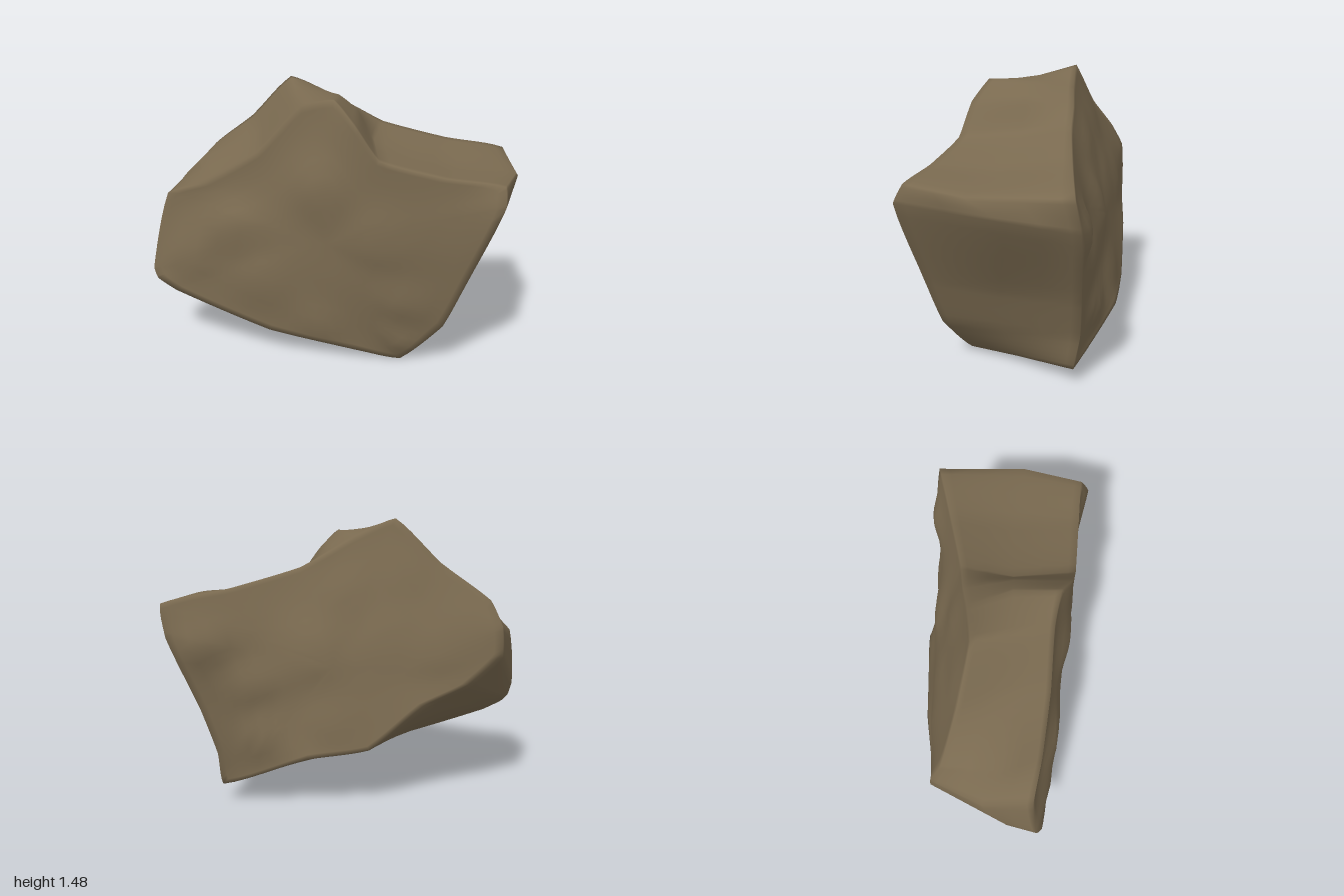
import * as THREE from 'three';
import { mergeVertices } from 'three/addons/utils/BufferGeometryUtils.js';

const V = (p) => new THREE.Vector3(...p);
const COLUMNS = 108;

// Rim of the front face, clockwise from the left tip
const FRONT = [
  [-1.0, 0.44, 0.22], [-0.9, 0.87, 0.18], [-0.68, 0.95, 0.22], [-0.38, 1.13, 0.25],
  [-0.14, 1.38, 0.25], [0.03, 1.42, 0.28], [0.14, 1.31, 0.345], [0.27, 1.14, 0.375],
  [0.6, 1.07, 0.4], [0.88, 1.045, 0.42], [0.885, 0.95, 0.47], [0.73, 0.53, 0.41],
  [0.62, 0.25, 0.365], [0.4, 0.0, 0.29], [0.15, 0.06, 0.33], [-0.32, 0.15, 0.33],
  [-0.86, 0.33, 0.27], [-0.97, 0.39, 0.25],
].map(V);

// Line around the middle of the thickness
const MIDDLE = [
  [-0.97, 0.54, 0.05], [-0.91, 0.87, -0.08], [-0.76, 1.02, 0.0], [-0.43, 1.18, 0.02],
  [-0.2, 1.42, 0.05], [0.03, 1.41, 0.05], [0.13, 1.33, 0.05], [0.22, 1.17, 0.05],
  [0.6, 1.065, 0.05], [0.965, 1.03, 0.1], [0.995, 0.94, -0.08], [0.73, 0.5, 0.02],
  [0.63, 0.25, 0.04], [0.52, 0.045, 0.0], [0.2, 0.11, 0.0], [-0.25, 0.23, 0.0],
  [-0.78, 0.42, 0.0], [-0.91, 0.47, 0.03],
].map(V);

// Rim of the back face
const BACK = [
  [-0.8, 0.78, -0.35], [-0.8, 0.92, -0.34], [-0.75, 1.05, -0.28], [-0.5, 1.24, -0.2],
  [-0.26, 1.475, -0.14], [-0.04, 1.38, -0.17], [0.1, 1.3, -0.2], [0.25, 1.22, -0.22],
  [0.6, 1.12, -0.3], [0.94, 1.05, -0.385], [0.915, 0.88, -0.41], [0.755, 0.5, -0.385],
  [0.68, 0.27, -0.365], [0.66, 0.09, -0.33], [0.22, 0.26, -0.47], [-0.1, 0.3, -0.455],
  [-0.38, 0.52, -0.42], [-0.62, 0.62, -0.375],
].map(V);

// Knolls and hollows inside each face, with the face's overall tilt
const FRONT_FACE = {
  centre: V([0, 0.68, 0]), tilt: V([0.06, 0, 0]),
  spots: [
    [0.28, 0.72, 0.395], [0.6, 0.78, 0.41], [0, 0.52, 0.355], [-0.5, 0.7, 0.32],
    [-0.35, 0.42, 0.345], [0.4, 0.4, 0.38], [0, 0.95, 0.365], [0.42, 0.12, 0.35],
    [-0.05, 0.2, 0.355], [-0.75, 0.5, 0.29],
  ].map(V),
};
const BACK_FACE = {
  centre: V([0.08, 0.72, 0]), tilt: V([0, 0.25, 0]),
  spots: [
    [0.2, 0.8, -0.38], [-0.2, 0.85, -0.35], [0.1, 0.45, -0.435], [-0.45, 0.8, -0.36],
    [0.5, 0.7, -0.39], [0.78, 0.86, -0.43], [0, 1.08, -0.28], [0.42, 0.4, -0.415],
    [-0.3, 1.15, -0.25],
  ].map(V),
};

const blend = (a, b, t) => a.map((p, i) => p.clone().lerp(b[i], t));

// Fill a loop with points, part way between sharp and rounded corners
function fillLoop(points) {
  const curve = new THREE.CatmullRomCurve3(points, true, 'centripetal');
  return Array.from({ length: COLUMNS }, (_, i) => {
    const u = (i / COLUMNS) * points.length;
    const k = Math.floor(u);
    const straight = points[k].clone().lerp(points[(k + 1) % points.length], u - k);
    return curve.getPoint(i / COLUMNS).lerp(straight, 0.65);
  });
}

// Loops shrinking from a rim to the face centre, with depth taken from nearby rim and spots
function faceLoops(rim, { centre, tilt, spots }) {
  const sources = [...rim.map((p) => [p, 1]), ...spots.map((p) => [p, 4])];
  const depth = (q) => {
    let sum = 0, total = 0;
    for (const [p, strength] of sources) {
      const w = strength / (Math.hypot(p.x - q.x, p.y - q.y) ** 3 + 1e-4);
      sum += w * (p.z - tilt.x * p.x - tilt.y * p.y);
      total += w;
    }
    return sum / total + tilt.x * q.x + tilt.y * q.y;
  };
  return [0.05, 0.14, 0.26, 0.38, 0.5, 0.62, 0.74, 0.87, 1].map((t) => rim.map((p) => {
    const q = p.clone().lerp(centre, t);
    q.z = depth(q);
    return q;
  }));
}

function rockGeometry() {
  // Loops run from the front centre, over the rims, to the back centre
  const front = fillLoop(FRONT), middle = fillLoop(MIDDLE), back = fillLoop(BACK);
  const loops = [
    ...faceLoops(front, FRONT_FACE).reverse(),
    front,
    ...[0.12, 0.5].map((t) => blend(front, middle, t)),
    middle,
    ...[0.5, 0.12].map((t) => blend(back, middle, t)),
    back,
    ...faceLoops(back, BACK_FACE),
  ];

  const positions = loops.flat().flatMap((p) => p.toArray());
  const index = [];
  for (let r = 0; r < loops.length - 1; r++) {
    for (let i = 0; i < COLUMNS; i++) {
      const a = r * COLUMNS + i, b = r * COLUMNS + (i + 1) % COLUMNS;
      const c = a + COLUMNS, d = b + COLUMNS;
      if (r > 0) index.push(a, b, c);
      if (r < loops.length - 2) index.push(b, d, c);
    }
  }
  const geometry = new THREE.BufferGeometry();
  geometry.setAttribute('position', new THREE.Float32BufferAttribute(positions, 3));
  geometry.setIndex(index);
  const merged = mergeVertices(geometry, 1e-5);
  merged.computeVertexNormals();
  return merged;
}

export function createModel() {
  const stone = new THREE.MeshStandardMaterial({ color: 0x7a6a50 });
  stone.name = 'brown stone';

  const rock = new THREE.Mesh(rockGeometry(), stone);
  rock.name = 'rock';

  const group = new THREE.Group();
  group.name = 'boulder';
  group.add(rock);
  return group;
}
